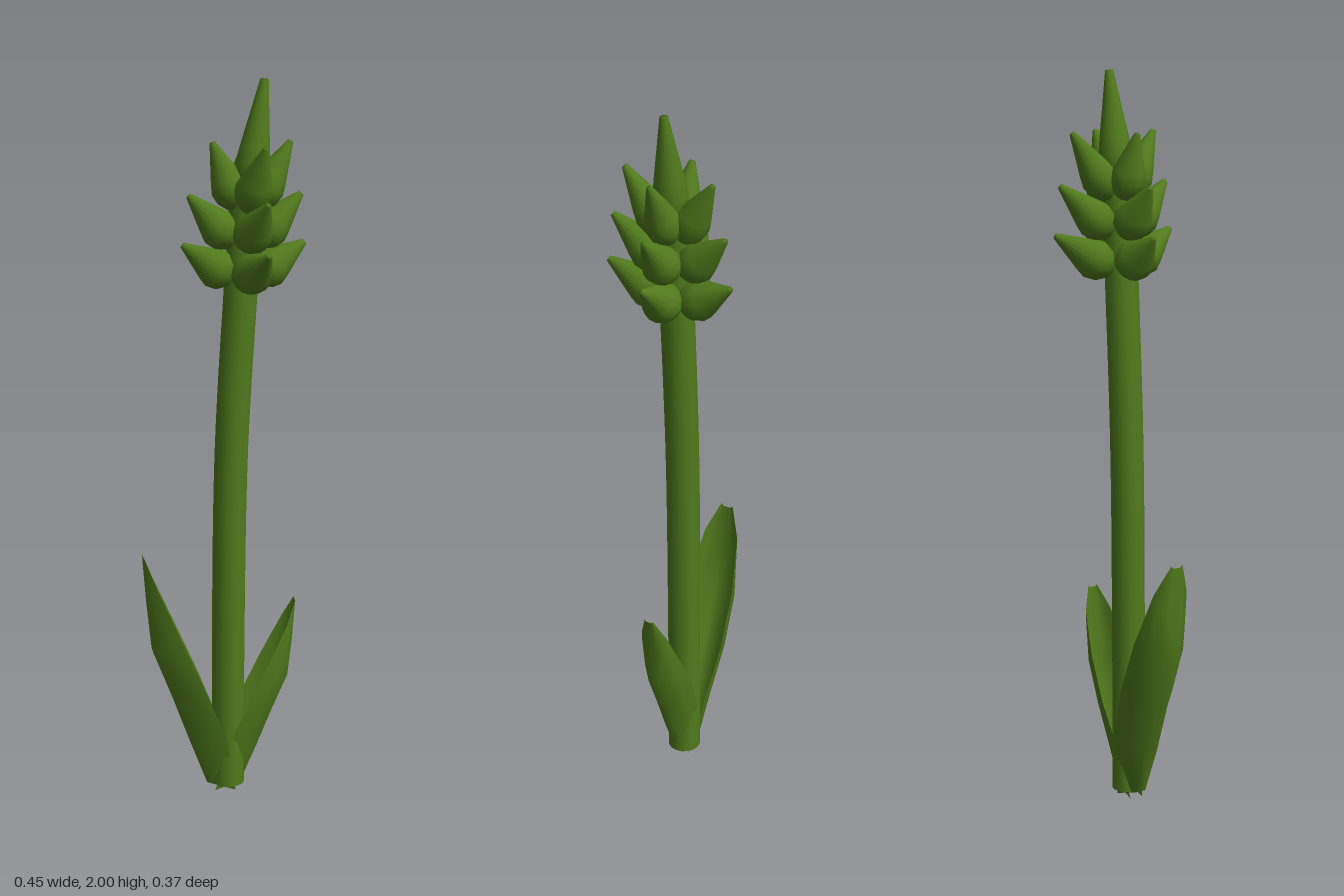
import * as THREE from 'three';

const V = (x, y, z = 0) => new THREE.Vector3(x, y, z);
const green = new THREE.MeshStandardMaterial({ color: 0x507a1c });
const leafGreen = new THREE.MeshStandardMaterial({ color: 0x507a1c, side: THREE.DoubleSide });

function addMesh(group, name, geometry, material = green) {
  const mesh = new THREE.Mesh(geometry, material);
  mesh.name = name;
  group.add(mesh);
  return mesh;
}

// Pointed bud: a round base tapering to a small blunt tip
function addBud(group, name, base, tip, radius, tipRadius = 0.008) {
  const axis = tip.clone().sub(base);
  const length = axis.length();
  const profile = [[0, 0], [0.02, 0.5], [0.15, 0.88], [0.3, 1], [0.45, 0.85]]
    .map(([t, r]) => new THREE.Vector2(r * radius, t * length));
  profile.push(new THREE.Vector2(tipRadius, length), new THREE.Vector2(0, length));
  const bud = addMesh(group, name, new THREE.LatheGeometry(profile, 16));
  bud.position.copy(base);
  bud.quaternion.setFromUnitVectors(V(0, 1, 0), axis.normalize());
}

// Boat-shaped open leaf lofted from a keel line and a rim line
function leafGeometry(sx, sy, sw) {
  // keel x, y, rim x, y, half width
  const stations = [
    [-0.05, 0.025, 0.03, 0, 0.025],
    [-0.1, 0.16, 0, 0.17, 0.056],
    [-0.15, 0.3, -0.065, 0.335, 0.075],
    [-0.2, 0.43, -0.13, 0.485, 0.073],
    [-0.214, 0.57, -0.193, 0.63, 0.053],
    [-0.225, 0.705, -0.225, 0.712, 0.018],
  ];
  const positions = [], index = [];
  for (const [kx, ky, rx, ry, w] of stations) {
    const keel = Math.min(0.022, w * 0.6);
    const section = [[1, -w], [0.5, -w * 0.85], [0, -keel], [0, keel], [0.5, w * 0.85], [1, w]];
    for (const [t, z] of section) {
      positions.push((kx + (rx - kx) * t) * sx, (ky + (ry - ky) * t) * sy, z * sw);
    }
  }
  const n = 6;
  for (let i = 0; i < stations.length - 1; i++) {
    for (let j = 0; j < n - 1; j++) {
      const a = i * n + j, b = a + 1, c = a + n, d = c + 1;
      if (sx > 0) index.push(a, b, c, b, d, c);
      else index.push(a, c, b, b, c, d);
    }
  }
  const geometry = new THREE.BufferGeometry();
  geometry.setAttribute('position', new THREE.Float32BufferAttribute(positions, 3));
  geometry.setIndex(index);
  geometry.computeVertexNormals();
  return geometry;
}

export function createModel() {
  const plant = new THREE.Group();
  plant.name = 'budSpikePlant';

  // Slightly leaning stem with a closed foot
  const path = new THREE.CatmullRomCurve3([
    V(0.012, 0.02), V(0.013, 0.5), V(0.021, 1), V(0.046, 1.45), V(0.065, 1.72),
  ]);
  addMesh(plant, 'stem', new THREE.TubeGeometry(path, 24, 0.046, 16));
  const foot = addMesh(plant, 'stemFoot', new THREE.CircleGeometry(0.046, 16));
  foot.rotation.x = Math.PI / 2;
  foot.position.set(0.012, 0.02, 0);

  // Tall and short leaf
  addMesh(plant, 'rightLeaf', leafGeometry(1, 1, 1), leafGreen);
  addMesh(plant, 'leftLeaf', leafGeometry(-0.89, 0.79, 0.76), leafGreen);

  // Three tiers of four buds around the stem
  const head = new THREE.Group();
  head.name = 'flowerHead';
  plant.add(head);
  const tiers = [
    { x: 0.052, y: 1.475, out: 0.03, r: 0.055, tipY: 1.57, left: 0.217, right: -0.11, z: 0.182 },
    { x: 0.056, y: 1.57, out: 0.03, r: 0.053, tipY: 1.7, left: 0.207, right: -0.093, z: 0.166 },
    { x: 0.06, y: 1.665, out: 0.025, r: 0.05, tipY: 1.838, left: 0.177, right: -0.03, z: 0.128 },
  ];
  for (const t of tiers) {
    addBud(head, 'leftBud', V(t.x + t.out, t.y), V(t.left, t.tipY), t.r);
    addBud(head, 'rightBud', V(t.x - t.out, t.y), V(t.right, t.tipY), t.r);
    for (const s of [1, -1]) {
      addBud(head, s > 0 ? 'frontBud' : 'backBud', V(t.x, t.y, s * t.out), V(0.088, t.tipY, s * t.z), t.r);
    }
  }

  // Long bud at the very top
  addBud(head, 'topBud', V(0.064, 1.69), V(0.107, 2), 0.046, 0.011);
  return plant;
}
